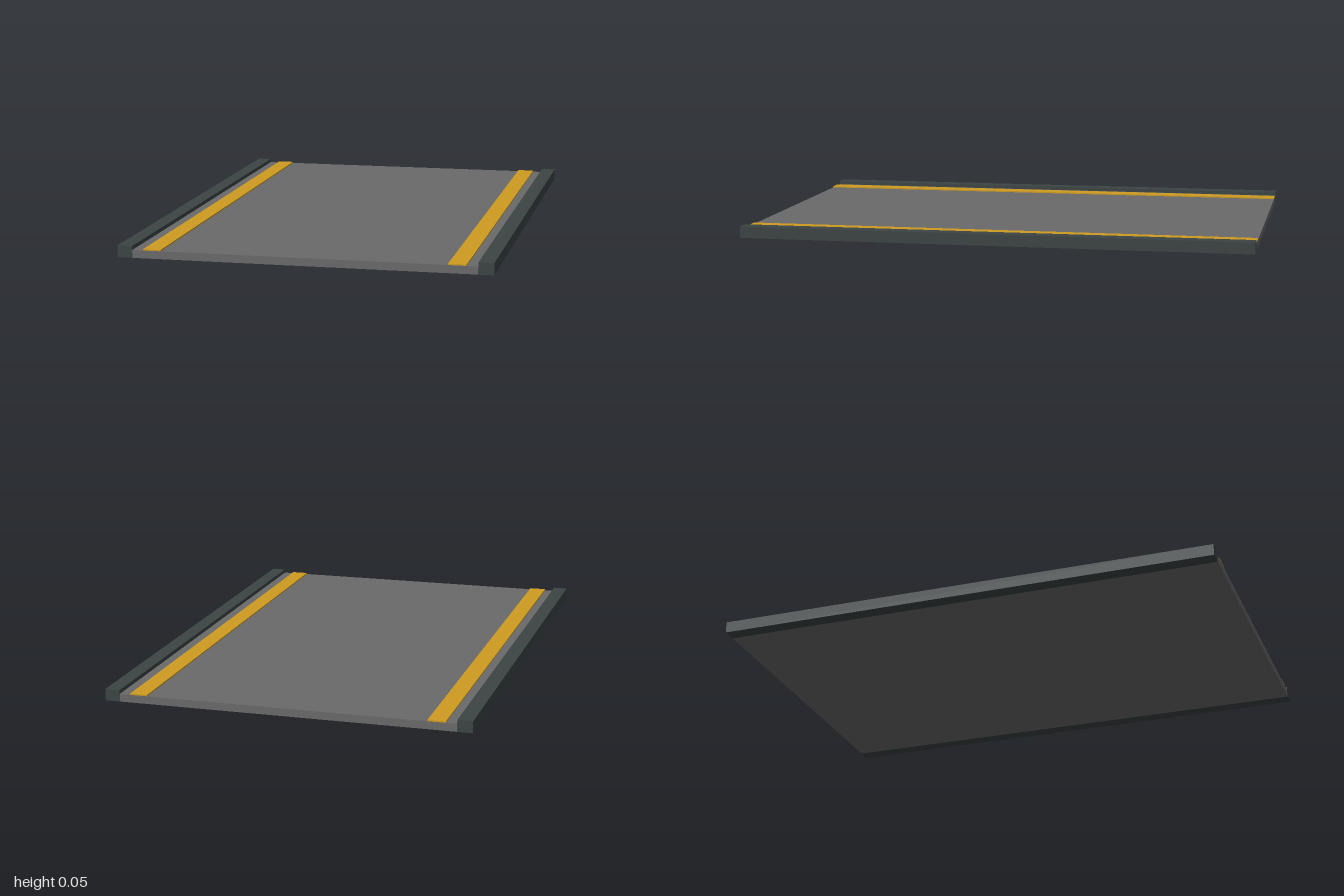
import * as THREE from 'three';

const paint = (name, color) => {
  const m = new THREE.MeshStandardMaterial({ color });
  m.name = name;
  return m;
};

export function createModel() {
  const group = new THREE.Group();
  group.name = 'roadSection';
  const asphalt = paint('asphalt grey', 0x6a6a6a);
  const yellow = paint('lane yellow', 0xcf9c20);
  const dark = paint('kerb dark grey', 0x3c4444);

  // Full-length slab spanning x0..x1 and y0..y1
  const slab = (name, x0, x1, y0, y1, material) => {
    const mesh = new THREE.Mesh(new THREE.BoxGeometry(x1 - x0, y1 - y0, 2), material);
    mesh.position.set((x0 + x1) / 2, (y0 + y1) / 2, 0);
    mesh.name = name;
    group.add(mesh);
  };

  // Road surface
  slab('roadDeck', -0.65, 0.65, 0, 0.03, asphalt);

  // Kerbs and raised edge stripes, mirrored
  for (const [side, s] of [['left', 1], ['right', -1]]) {
    const span = (a, b) => (s > 0 ? [a, b] : [-b, -a]);
    slab(side + 'Kerb', ...span(0.65, 0.708), 0, 0.045, dark);
    slab(side + 'Stripe', ...span(0.54, 0.608), 0.03, 0.035, yellow);
  }
  return group;
}
